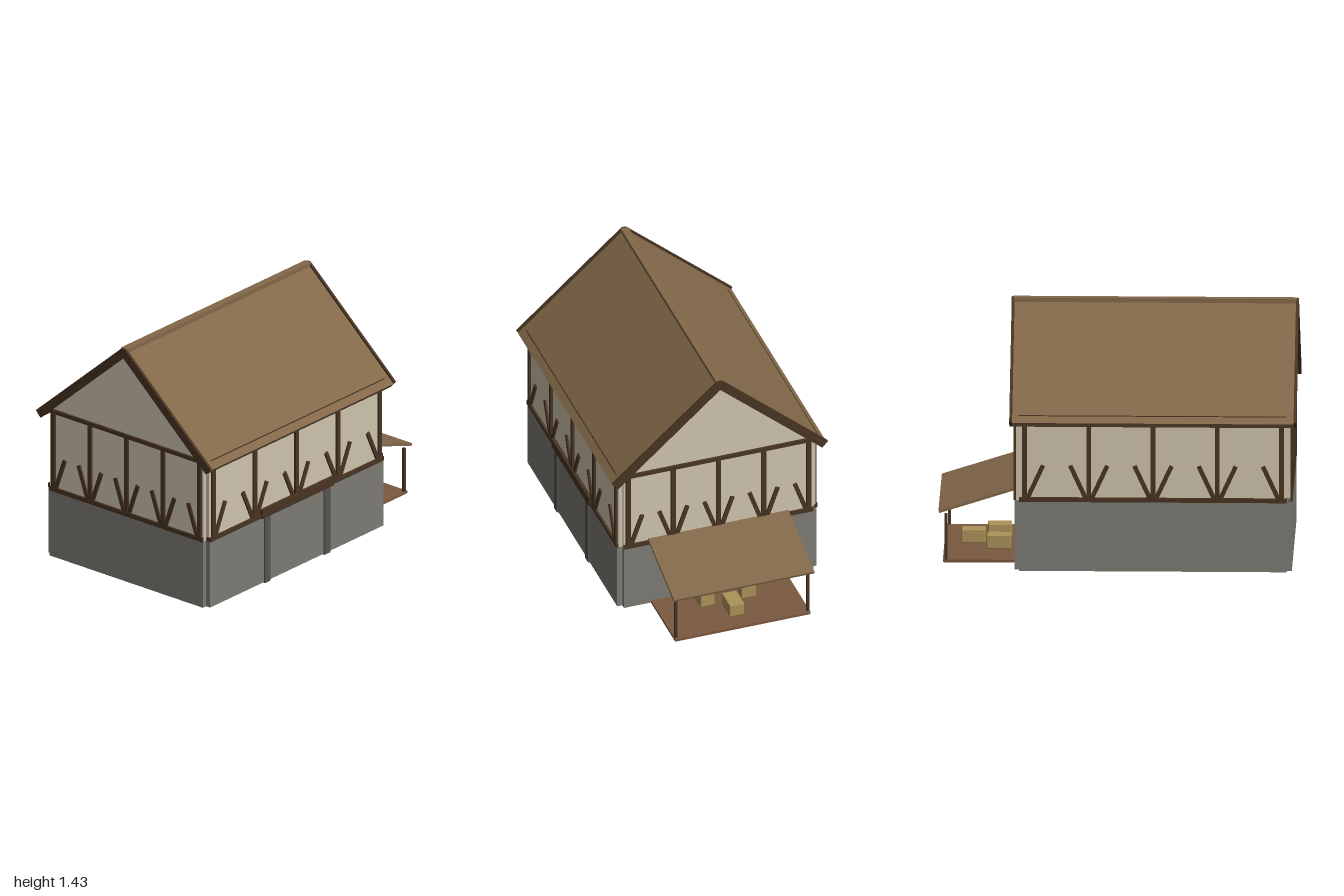
import * as THREE from 'three';
import { RoundedBoxGeometry } from 'three/addons/geometries/RoundedBoxGeometry.js';

export function createModel() {
  const root = new THREE.Group();
  root.name = 'barn';
  const mat = (name, color) => {
    const m = new THREE.MeshStandardMaterial({ color });
    m.name = name;
    return m;
  };
  const stone = mat('stone', 0x7d7a73);
  const darkStone = mat('darkStone', 0x55534e);
  const plaster = mat('plaster', 0xcfc3ae);
  const timber = mat('timber', 0x483422);
  const roofWood = mat('roofWood', 0x836849);
  const deckWood = mat('deckWood', 0x7a593f);
  const straw = mat('straw', 0xab9258);

  const add = (name, geo, m, parent = root) => {
    const mesh = new THREE.Mesh(geo, m);
    mesh.name = name;
    parent.add(mesh);
    return mesh;
  };
  // Box given by its extents
  const box = (name, m, x0, x1, y0, y1, z0, z1, parent = root) => {
    const mesh = add(name, new THREE.BoxGeometry(x1 - x0, y1 - y0, z1 - z0), m, parent);
    mesh.position.set((x0 + x1) / 2, (y0 + y1) / 2, (z0 + z1) / 2);
    return mesh;
  };
  // Profile in (z, y), extruded along x
  const profile = (name, m, pts, x0, x1) => {
    const shape = new THREE.Shape(pts.map(p => new THREE.Vector2(p[0], p[1])));
    const geo = new THREE.ExtrudeGeometry(shape, { depth: x1 - x0, bevelEnabled: false });
    geo.rotateY(Math.PI / 2);
    geo.translate(x0, 0, 0);
    return add(name, geo, m);
  };

  const CX = -0.2; // centre of the house along x

  // Stone ground floor and plastered upper floor, with notched corners
  box('stoneWallsLong', stone, CX - 0.745, CX + 0.745, 0.01, 0.41, -0.59, 0.59);
  box('stoneWallsEnd', stone, CX - 0.773, CX + 0.773, 0.01, 0.41, -0.56, 0.56);
  box('plasterWallsLong', plaster, CX - 0.745, CX + 0.745, 0.41, 0.885, -0.582, 0.582);
  box('plasterWallsEnd', plaster, CX - 0.765, CX + 0.765, 0.41, 0.9, -0.56, 0.56);

  // Gables
  const gable = [[-0.55, 0.9], [0.55, 0.9], [0, 1.388]];
  profile('gableRight', plaster, gable, CX + 0.735, CX + 0.765);
  profile('gableLeft', plaster, gable, CX - 0.765, CX - 0.735);

  // Timber frame of one wall, built facing +z around its own origin
  const frame = (name, half, spacing, lean) => {
    const g = new THREE.Group();
    g.name = name;
    box('sillBeam', timber, -half, half, 0.408, 0.433, -0.03, 0, g);
    box('topBeam', timber, -half, half, 0.883, 0.906, -0.03, 0.002, g);
    for (let i = -2; i <= 2; i++) {
      const x = i * spacing;
      box('post', timber, x - 0.0135, x + 0.0135, 0.43, 0.885, -0.03, 0, g);
      for (const s of [-1, 1]) {
        if (i * s === 2) continue; // end posts brace inward only
        const dx = lean - 0.02, dy = 0.185;
        const b = add('brace', new THREE.BoxGeometry(0.024, Math.hypot(dx, dy), 0.026), timber, g);
        b.position.set(x + s * (0.018 + dx / 2), 0.523, -0.015);
        b.rotation.z = -s * Math.atan2(dx, dy);
      }
    }
    root.add(g);
    return g;
  };
  frame('frontFrame', 0.745, 0.358, 0.105).position.set(CX, 0, 0.595);
  const back = frame('backFrame', 0.745, 0.358, 0.105);
  back.position.set(CX, 0, -0.595);
  back.rotation.y = Math.PI;
  for (const s of [-1, 1]) {
    const end = frame(s > 0 ? 'rightEndFrame' : 'leftEndFrame', 0.56, 0.267, 0.085);
    end.position.x = CX + s * 0.777;
    end.rotation.y = s * Math.PI / 2;
  }

  // Roof: sloping chevron with square-cut eaves
  const chevron = (top, flat, eave, t) => {
    const m = 0.885, n = [0.663, 0.749];
    const ey = top - m * eave;
    const inner = [eave - t * n[0], ey - t * n[1]];
    return [
      [-flat, top - m * flat], [-eave, ey], [-inner[0], inner[1]],
      [0, top - t / n[1]], inner, [eave, ey], [flat, top - m * flat],
    ];
  };
  profile('roof', roofWood, chevron(1.43, 0.003, 0.632, 0.036), -0.985, 0.585);
  const barge = chevron(1.445, 0.012, 0.637, 0.05);
  profile('bargeBoardLeft', timber, barge, -1, -0.984);
  profile('bargeBoardRight', timber, barge, 0.584, 0.6);
  box('ridgeCap', roofWood, -0.99, 0.59, 1.4, 1.435, -0.022, 0.022);

  // Gateway: jambs, lintel and threshold
  for (const s of [-1, 1]) {
    const x = CX + s * 0.257;
    box('gateJamb', darkStone, x - 0.025, x + 0.025, 0.005, 0.41, 0.55, 0.597);
  }
  box('gateLintel', timber, CX - 0.308, CX + 0.308, 0.405, 0.458, 0.55, 0.602);
  box('gateThreshold', timber, CX - 0.285, CX + 0.28, 0, 0.02, 0.325, 0.36);

  // Lean-to: deck, posts and sloping roof
  box('deck', deckWood, 0.56, 0.975, 0.008, 0.024, -0.4, 0.4);
  for (const z of [-0.39, 0.39]) {
    box('leanToPost', timber, 0.949, 0.965, 0.02, 0.287, z - 0.008, z + 0.008);
  }
  const run = 0.43, drop = 0.137;
  const lean = add('leanToRoof', new THREE.BoxGeometry(Math.hypot(run, drop), 0.015, 0.83), roofWood);
  lean.position.set(0.782, 0.37, 0);
  lean.rotation.z = -Math.atan2(drop, run);

  // Straw bales on the deck
  for (const [x, z, yaw] of [[0.668, 0.125, 0.06], [0.812, 0, 0], [0.668, -0.125, -0.06]]) {
    const bale = add('bale', new RoundedBoxGeometry(0.134, 0.078, 0.086, 2, 0.006), straw);
    bale.position.set(x, 0.066, z);
    bale.rotation.y = yaw;
  }
  return root;
}
